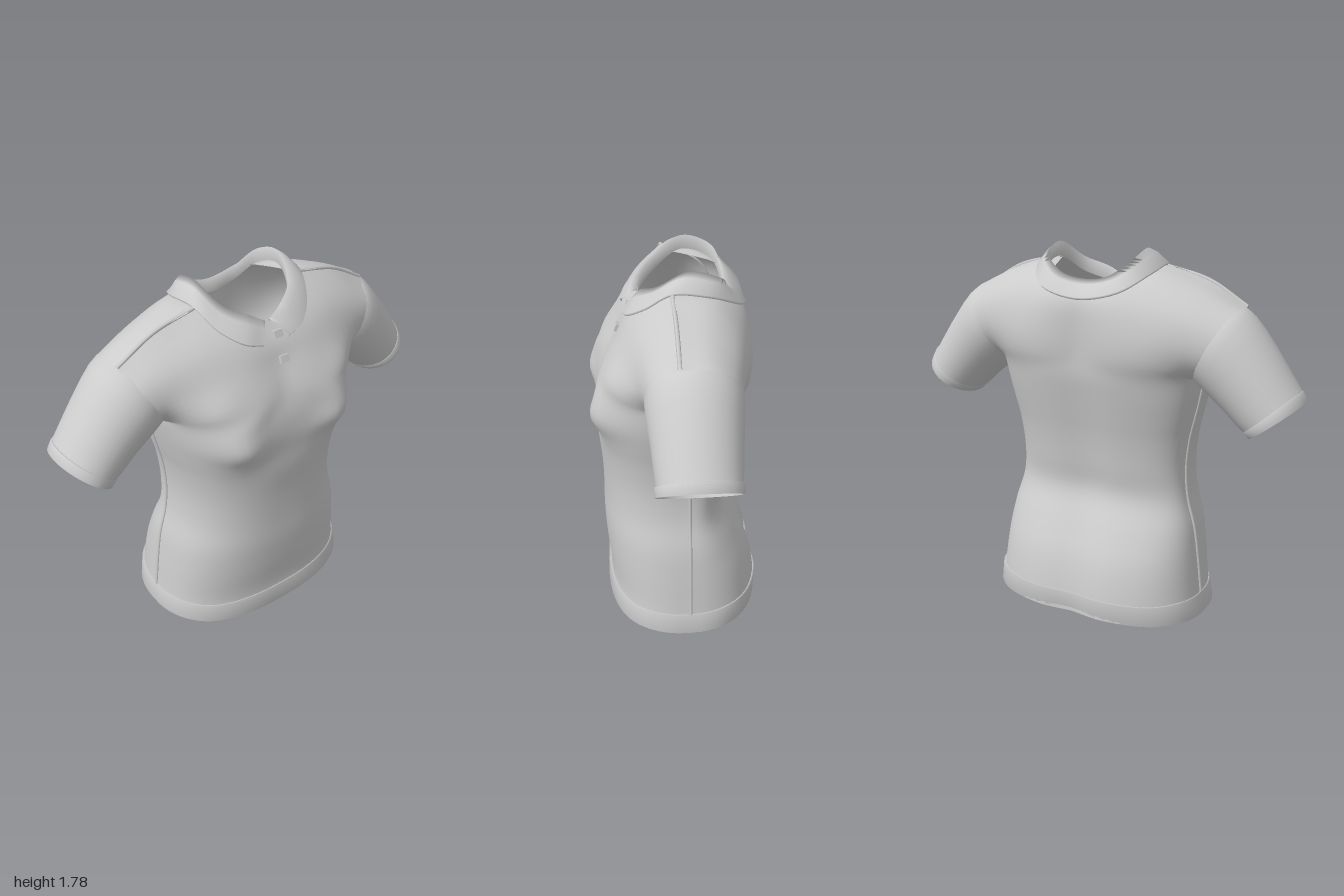
import * as THREE from 'three';

const V = (x, y, z) => new THREE.Vector3(x, y, z);
const cloth = new THREE.MeshStandardMaterial({ color: 0xcccccc, side: THREE.DoubleSide });
cloth.name = 'grey cloth';

// Smooth surface through rows of points; wrap closes each row into a ring
function loft(rows, wrap = false) {
  const n = rows[0].length, idx = [];
  for (let i = 0; i < rows.length - 1; i++) {
    for (let j = 0; j < (wrap ? n : n - 1); j++) {
      const a = i * n + j, b = i * n + (j + 1) % n;
      idx.push(a, b, b + n, a, b + n, a + n);
    }
  }
  const g = new THREE.BufferGeometry();
  g.setAttribute('position', new THREE.Float32BufferAttribute(rows.flat().flatMap(p => [p.x, p.y, p.z]), 3));
  g.setIndex(idx);
  g.computeVertexNormals();
  return g;
}

const spline = (pts) => new THREE.CatmullRomCurve3(pts);
const sampled = (pts, n) => Array.from({ length: n + 1 }, (_, i) => spline(pts).getPoint(i / n));

// Body rings below the armpit: height, half width, front depth, back depth
const SIDE_Z = -0.04;
const RINGS = [
  [0.03, 0.55, 0.345, -0.415], [0.13, 0.535, 0.337, -0.408], [0.3, 0.515, 0.352, -0.37],
  [0.45, 0.492, 0.36, -0.3], [0.6, 0.452, 0.358, -0.227], [0.75, 0.44, 0.362, -0.24],
  [0.9, 0.455, 0.375, -0.262], [1.0, 0.478, 0.375, -0.283], [1.1, 0.5, 0.375, -0.305],
  [1.2, 0.518, 0.362, -0.325],
];

// Point on a rounded ring, with the chest swelling and the hollow of the spine
function ringPoint([y, w, zf, zb], a, off = 0) {
  const s = Math.sin(a), c = Math.cos(a);
  const x = (w + off) * Math.sign(s) * Math.abs(s) ** 0.8;
  const depth = c > 0 ? zf + off - SIDE_Z : SIDE_Z - zb + off;
  let z = SIDE_Z + depth * Math.sign(c) * Math.abs(c) ** 0.8;
  if (c > 0) z += 0.075 * Math.exp(-(((Math.abs(x) - 0.29) / 0.13) ** 2) - ((y - 1.13) / 0.13) ** 2);
  else z += 0.025 * Math.exp(-((x / 0.11) ** 2));
  return V(x, y, z);
}

// Rows above the armpit, from the centre line out to the armhole
const FRONT = [
  [[0, 1.3, 0.325], [0.18, 1.3, 0.347], [0.35, 1.3, 0.32], [0.46, 1.27, 0.23], [0.522, 1.231, 0.098]],
  [[0, 1.42, 0.267], [0.17, 1.43, 0.277], [0.34, 1.42, 0.255], [0.49, 1.38, 0.21], [0.579, 1.335, 0.17]],
  [[0, 1.5, 0.235], [0.16, 1.53, 0.222], [0.33, 1.56, 0.175], [0.5, 1.51, 0.16], [0.642, 1.452, 0.145]],
  [[0, 1.592, 0.168], [0.17, 1.62, 0.15], [0.29, 1.69, 0.03], [0.5, 1.64, 0.03], [0.69, 1.538, 0.03]],
];
const BACK = [
  [[0, 1.3, -0.305], [0.18, 1.3, -0.335], [0.35, 1.3, -0.31], [0.46, 1.27, -0.25], [0.522, 1.231, -0.172]],
  [[0, 1.43, -0.312], [0.17, 1.43, -0.337], [0.34, 1.42, -0.315], [0.49, 1.39, -0.275], [0.579, 1.335, -0.244]],
  [[0, 1.54, -0.31], [0.16, 1.55, -0.315], [0.33, 1.56, -0.27], [0.5, 1.52, -0.24], [0.642, 1.452, -0.219]],
  [[0, 1.6, -0.285], [0.17, 1.62, -0.265], [0.31, 1.67, -0.15], [0.5, 1.615, -0.12], [0.684, 1.53, -0.11]],
  [[0, 1.62, -0.25], [0.17, 1.65, -0.23], [0.29, 1.69, 0.03], [0.5, 1.64, 0.03], [0.69, 1.538, 0.03]],
];

// One torso panel: lower rings plus upper rows, smoothed up each column
function panel(upper, isFront) {
  const N = 16;
  const rows = RINGS.map(r => Array.from({ length: N + 1 }, (_, j) => {
    const a = (j / N) * Math.PI / 2;
    return ringPoint(r, isFront ? a : Math.PI - a);
  }));
  upper.forEach(r => rows.push(sampled(r.map(p => V(...p)), N)));
  const columns = rows[0].map((_, j) => sampled(rows.map(r => r[j]), (rows.length - 1) * 4));
  const grid = columns[0].map((_, i) => {
    const half = columns.map(c => c[i]);
    const other = half.slice(1).reverse().map(p => V(-p.x, p.y, p.z));
    const row = [...other, ...half];
    return isFront ? row : row.reverse();
  });
  return loft(grid);
}

// Sleeve ring from its top and bottom points in the front plane
const sleeveRing = ([tx, ty, bx, by, hz], n = 32) => Array.from({ length: n }, (_, k) => {
  const a = (k / n) * Math.PI * 2, c = Math.cos(a);
  return V((tx + bx) / 2 + c * (tx - bx) / 2, (ty + by) / 2 + c * (ty - by) / 2, -0.037 - hz * Math.sin(a));
});
const SLEEVE = [
  [0.655, 1.54, 0.485, 1.2, 0.203], [0.69, 1.541, 0.502, 1.188, 0.211], [0.735, 1.508, 0.545, 1.152, 0.211],
  [0.785, 1.453, 0.59, 1.115, 0.204], [0.85, 1.368, 0.645, 1.07, 0.195], [0.92, 1.268, 0.705, 1.015, 0.187],
  [0.968, 1.197, 0.74, 0.988, 0.182],
];
const CUFF = [
  [0.965, 1.19, 0.742, 0.995, 0.178], [0.975, 1.195, 0.735, 0.99, 0.187], [0.998, 1.15, 0.762, 0.966, 0.187],
  [0.988, 1.143, 0.77, 0.972, 0.178], [0.945, 1.2, 0.735, 1.01, 0.174],
];

// Collar edges, from the front opening round to the centre back
const FOLD = [[0.012, 1.597, 0.172], [0.08, 1.64, 0.158], [0.18, 1.69, 0.09], [0.232, 1.778, -0.05],
  [0.215, 1.735, -0.19], [0.12, 1.665, -0.228], [0, 1.642, -0.222]];
const EDGE = [[0.07, 1.53, 0.248], [0.16, 1.557, 0.228], [0.25, 1.622, 0.147], [0.298, 1.703, 0.03],
  [0.302, 1.688, -0.14], [0.2, 1.612, -0.293], [0, 1.573, -0.318]];

function collar() {
  const around = (pts) => {
    const half = pts.map(p => V(...p));
    return sampled([...half, ...half.slice(0, -1).reverse().map(p => V(-p.x, p.y, p.z))], 72);
  };
  const fold = around(FOLD), edge = around(EDGE);
  const stand = fold.map(p => V(p.x * 1.03, p.y - 0.07, p.z));
  const roll = fold.map((p, i) => p.clone().lerp(edge[i], 0.4).add(V(0, 0.01, 0)));
  const under = edge.map(p => V(p.x * 0.98, p.y - 0.012, p.z * 0.97));
  return loft([stand, fold, roll, edge, under]);
}

// Hem band, slightly proud of the body and turned in at the bottom
function hem() {
  const low = [0.015, 0.55, 0.342, -0.402], high = [0.115, 0.537, 0.338, -0.41];
  const rows = [[high, -0.002], [high, 0.009], [low, 0.011], [low, -0.008], [high, -0.01]];
  return loft(rows.map(([r, off]) => Array.from({ length: 72 }, (_, k) => {
    const a = (k / 72) * Math.PI * 2;
    const p = ringPoint(r, a, off);
    p.y += -0.014 * Math.cos(a) + 0.003 * Math.sin(a * 7) * Math.sin(a);
    return p;
  })), true);
}

export function createModel() {
  const shirt = new THREE.Group();
  shirt.name = 'poloShirt';
  const add = (name, geometry) => {
    const m = new THREE.Mesh(geometry, cloth);
    m.name = name;
    shirt.add(m);
    return m;
  };

  add('frontPanel', panel(FRONT, true));
  add('backPanel', panel(BACK, false));
  add('hemBand', hem());
  add('collar', collar());

  // Sleeves, cuffs and raised seams on both sides
  for (const [side, s] of [['left', 1], ['right', -1]]) {
    const flip = (row) => {
      const r = row.map(p => V(p.x * s, p.y, p.z));
      return s > 0 ? r : r.reverse();
    };
    add(side + 'Sleeve', loft(SLEEVE.map(r => flip(sleeveRing(r))), true));
    add(side + 'Cuff', loft(CUFF.map(r => flip(sleeveRing(r))), true));
    const sideSeam = RINGS.map(([y, w]) => V(s * w, y, SIDE_Z));
    add(side + 'SideSeam', new THREE.TubeGeometry(spline(sideSeam), 40, 0.008, 6));
    const shoulder = [V(s * 0.285, 1.69, 0.03), V(s * 0.5, 1.641, 0.03), V(s * 0.685, 1.538, 0.03)];
    add(side + 'ShoulderSeam', new THREE.TubeGeometry(spline(shoulder), 20, 0.01, 6));
  }

  // Placket buttons
  for (const [y, z] of [[1.54, 0.218], [1.435, 0.267]]) {
    const b = add('button', new THREE.BoxGeometry(0.045, 0.034, 0.022));
    b.position.set(0.025, y, z);
    b.rotation.x = -0.4;
  }
  return shirt;
}
